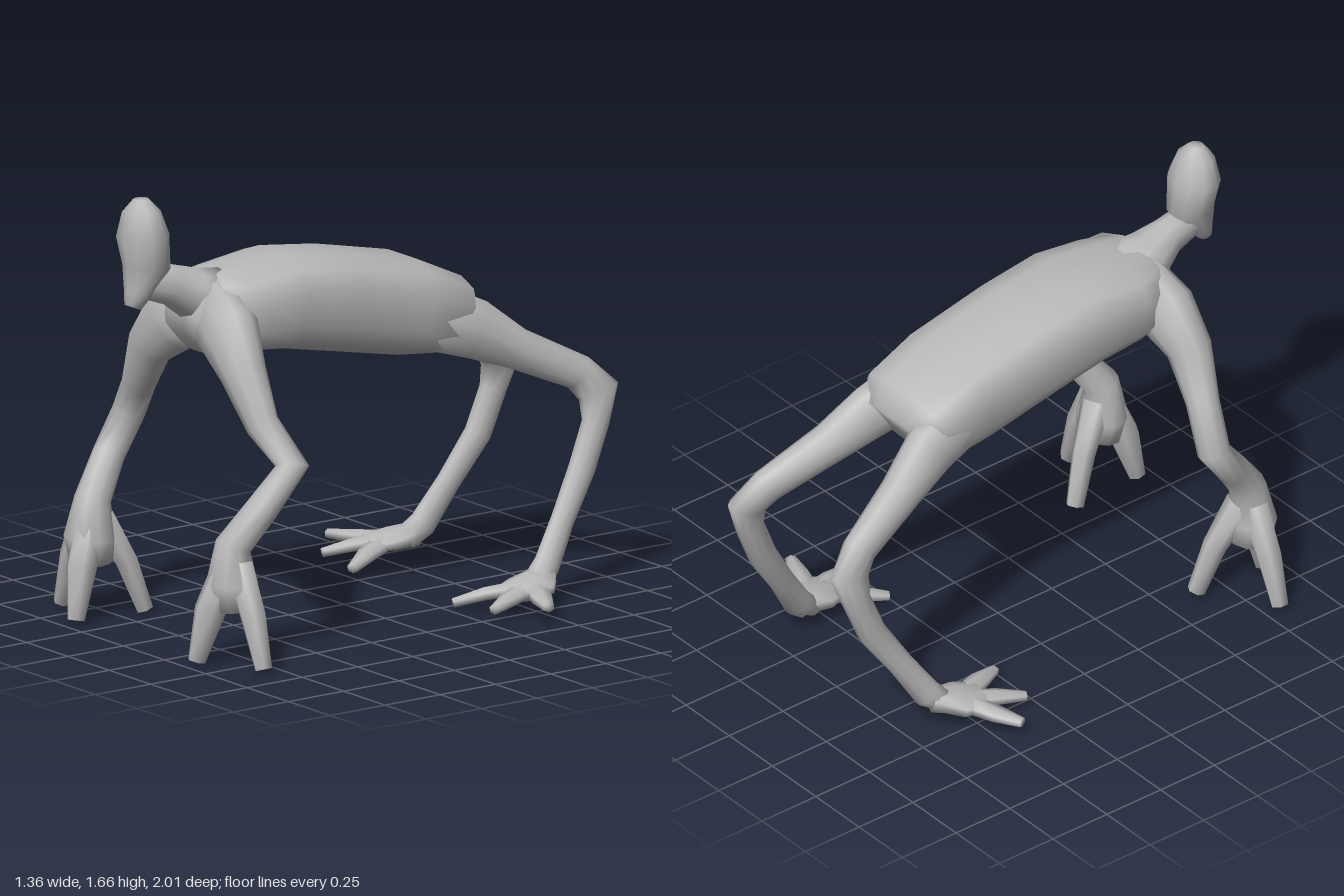
import * as THREE from 'three';

const skin = new THREE.MeshStandardMaterial({ color: 0xb8b8b8 });
skin.name = 'grey skin';

// Closed loft through stations [x, y, z, a, b]; a lies along ref x tangent, b across it.
// power < 1 makes the ring boxier.
function loft(name, stations, ref, sides = 10, power = 1) {
  const n = stations.length;
  const centres = stations.map(s => new THREE.Vector3(s[0], s[1], s[2]));
  const pos = [], index = [];
  const bend = v => Math.sign(v) * Math.abs(v) ** power;
  const addRing = (i, scale) => {
    const c = centres[i];
    const before = c.clone().sub(centres[Math.max(i - 1, 0)]).normalize();
    const after = centres[Math.min(i + 1, n - 1)].clone().sub(c).normalize();
    const t = before.add(after).normalize();
    const side = ref.clone().cross(t).normalize();
    const up = t.clone().cross(side);
    for (let j = 0; j < sides; j++) {
      const q = (j + 0.5) / sides * Math.PI * 2;
      const p = c.clone()
        .addScaledVector(side, bend(Math.cos(q)) * stations[i][3] * scale)
        .addScaledVector(up, bend(Math.sin(q)) * stations[i][4] * scale);
      pos.push(p.x, p.y, p.z);
    }
  };
  addRing(0, 0.001);
  for (let i = 0; i < n; i++) addRing(i, 1);
  addRing(n - 1, 0.001);
  for (let i = 0; i < n + 1; i++) {
    for (let j = 0; j < sides; j++) {
      const a = i * sides + j, b = i * sides + (j + 1) % sides;
      index.push(a, b, b + sides, a, b + sides, a + sides);
    }
  }
  const geo = new THREE.BufferGeometry();
  geo.setAttribute('position', new THREE.Float32BufferAttribute(pos, 3));
  geo.setIndex(index);
  geo.computeVertexNormals();
  const mesh = new THREE.Mesh(geo, skin);
  mesh.name = name;
  return mesh;
}

const X = new THREE.Vector3(1, 0, 0);
const Y = new THREE.Vector3(0, 1, 0);
const Z = new THREE.Vector3(0, 0, 1);

export function createModel() {
  const model = new THREE.Group();
  model.name = 'creature';

  // Long arched torso: z, top, bottom, half width
  const torso = [
    [-0.46, 1.10, 0.90, 0.17], [-0.40, 1.19, 0.885, 0.235], [-0.22, 1.275, 0.91, 0.24],
    [0.10, 1.345, 0.975, 0.24], [0.33, 1.375, 1.02, 0.24], [0.52, 1.345, 1.04, 0.235],
    [0.64, 1.345, 1.04, 0.19], [0.73, 1.31, 1.13, 0.10]
  ].map(([z, top, bottom, w]) => [0, (top + bottom) / 2, z, w, (top - bottom) / 2]);
  model.add(loft('torso', torso, Y, 12, 0.72));

  // Neck and wedge-shaped head
  model.add(loft('neck', [
    [0, 1.24, 0.60, 0.15, 0.11], [0, 1.27, 0.70, 0.105, 0.095],
    [0, 1.315, 0.79, 0.066, 0.075], [0, 1.35, 0.90, 0.055, 0.07]
  ], Y));
  model.add(loft('head', [
    [0, 1.255, 0.957, 0.035, 0.03], [0, 1.30, 0.938, 0.055, 0.046],
    [0, 1.40, 0.895, 0.085, 0.09], [0, 1.52, 0.912, 0.11, 0.09],
    [0, 1.61, 0.918, 0.075, 0.068], [0, 1.655, 0.92, 0.03, 0.03]
  ], Z));

  for (const s of [1, -1]) {
    const label = s > 0 ? 'left' : 'right';
    const limb = (name, pts, ref, sides) =>
      model.add(loft(label + name, pts.map(([x, ...rest]) => [x * s, ...rest]), ref, sides));

    // Foreleg from shoulder over the elbow to the spread palm
    limb('Foreleg', [
      [0.04, 1.20, 0.63, 0.14, 0.09], [0.17, 1.14, 0.645, 0.135, 0.105],
      [0.28, 1.02, 0.665, 0.095, 0.08], [0.375, 0.845, 0.65, 0.067, 0.06],
      [0.495, 0.71, 0.605, 0.062, 0.062], [0.47, 0.57, 0.715, 0.06, 0.06],
      [0.425, 0.43, 0.82, 0.066, 0.068], [0.43, 0.29, 0.83, 0.105, 0.09],
      [0.435, 0.20, 0.82, 0.09, 0.075]
    ], Z);
    for (const [x, z, bulge] of [[0.365, 0.94, 0.06], [0.61, 0.82, 0.05], [0.35, 0.64, 0.045]]) {
      const at = k => [0.43 + (x - 0.43) * k, 0.82 + (z - 0.82) * k];
      const [x1, z1] = at(0.15), [x2, z2] = at(0.65);
      limb('Finger', [
        [x1, 0.36, z1, 0.06, 0.055], [x2, 0.19, z2, bulge, bulge], [x, 0.005, z, 0.034, 0.034]
      ], Z, 6);
    }

    // Hind leg from hip over the knee to the ankle
    limb('HindLeg', [
      [0.13, 1.06, -0.28, 0.13, 0.10], [0.165, 0.99, -0.46, 0.115, 0.085],
      [0.205, 0.90, -0.62, 0.08, 0.075], [0.265, 0.785, -0.86, 0.068, 0.06],
      [0.295, 0.71, -0.93, 0.085, 0.053], [0.31, 0.60, -0.905, 0.055, 0.048],
      [0.315, 0.44, -0.84, 0.055, 0.045], [0.345, 0.27, -0.73, 0.048, 0.04],
      [0.375, 0.12, -0.635, 0.055, 0.045], [0.395, 0.07, -0.57, 0.04, 0.06]
    ], X);
    // Flat splayed foot
    limb('Foot', [
      [0.385, 0.085, -0.62, 0.05, 0.045], [0.425, 0.07, -0.53, 0.105, 0.038],
      [0.45, 0.06, -0.44, 0.095, 0.028]
    ], Y, 8);
    for (const [x, y, z] of [[0.67, 0.055, -0.425], [0.52, 0.035, -0.29], [0.305, 0.022, -0.265]]) {
      const bx = 0.43, bz = -0.53;
      limb('Toe', [
        [bx, 0.072, bz, 0.05, 0.03],
        [bx + (x - bx) * 0.6, 0.045 + y * 0.25, bz + (z - bz) * 0.6, 0.042, 0.025],
        [x, y, z, 0.022, 0.018]
      ], Y, 6);
    }
  }
  return model;
}
